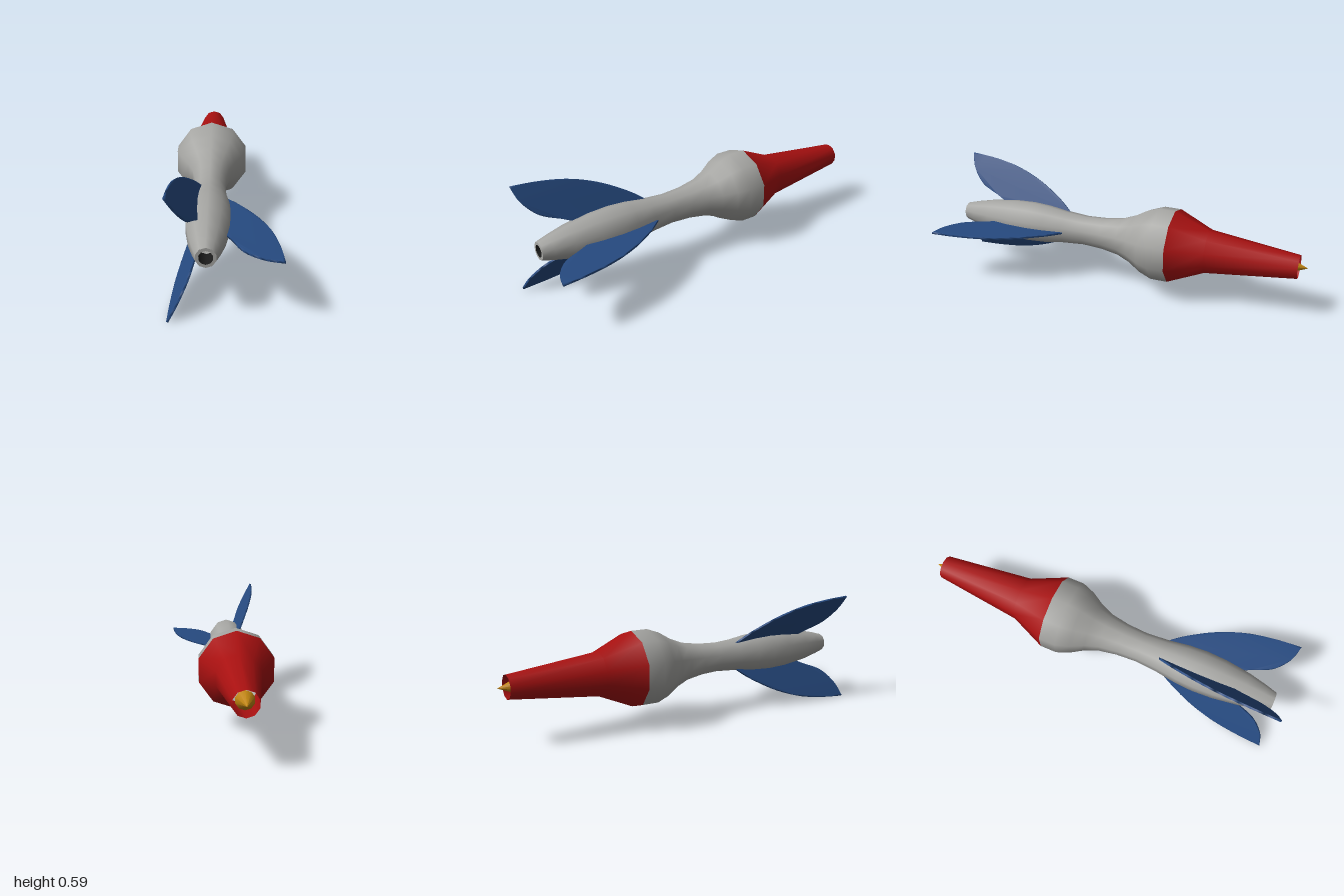
import * as THREE from 'three';
import { mergeVertices } from 'three/addons/utils/BufferGeometryUtils.js';

const SIDES = 10;

function material(name, color, side = THREE.FrontSide) {
  const m = new THREE.MeshStandardMaterial({ color, side });
  m.name = name;
  return m;
}

// Ring of revolution about the z axis from [z, radius] pairs, z increasing
function revolve(profile) {
  const points = profile.map(([z, r]) => new THREE.Vector2(r, z));
  return new THREE.LatheGeometry(points, SIDES).rotateX(Math.PI / 2);
}

function finGeometry() {
  // x is distance from the body axis, y runs forward
  const shape = new THREE.Shape();
  shape.moveTo(0.085, 0.33);
  shape.splineThru([[0.15, 0.41], [0.235, 0.55], [0.294, 0.7], [0.324, 0.85], [0.338, 1]]
    .map(([x, y]) => new THREE.Vector2(x, y)));
  shape.splineThru([[0.25, 0.972], [0.165, 0.9], [0.112, 0.79], [0.085, 0.74]]
    .map(([x, y]) => new THREE.Vector2(x, y)));
  shape.closePath();
  let g = new THREE.ExtrudeGeometry(shape, { depth: 0.01, bevelEnabled: false, curveSegments: 4 });
  g.translate(0, 0, -0.005).rotateX(Math.PI / 2);
  // Share corners so the blade shades softly
  g.deleteAttribute('uv');
  g.deleteAttribute('normal');
  g = mergeVertices(g, 1e-4);
  g.computeVertexNormals();
  return g;
}

export function createModel() {
  const grey = material('grey', 0xa6a6a3, THREE.DoubleSide);
  const red = material('red', 0xa81010, THREE.DoubleSide);
  const blue = material('blue', 0x264a80);
  const gold = material('gold', 0xbf8410);
  const dark = material('dark', 0x1c1c1c, THREE.DoubleSide);

  const model = new THREE.Group();
  model.name = 'dart';
  const add = (name, geometry, mat) => {
    const mesh = new THREE.Mesh(geometry, mat);
    mesh.name = name;
    model.add(mesh);
    return mesh;
  };

  // Waisted body
  add('body', revolve([
    [-0.29, 0.2], [-0.2, 0.2], [-0.13, 0.174], [-0.06, 0.132], [0.01, 0.104],
    [0.11, 0.087], [0.22, 0.081], [0.34, 0.09], [0.45, 0.106], [0.55, 0.112],
    [0.66, 0.107], [0.8, 0.088], [0.9, 0.065], [0.96, 0.048],
  ]), grey);

  // Open end: rim and short dark bore
  add('rim', new THREE.RingGeometry(0.033, 0.048, SIDES, 1, Math.PI / 2).translate(0, 0, 0.96), grey);
  add('bore', revolve([[0.86, 0.033], [0.96, 0.033]]), dark);

  // Tapered open nose and the point inside it
  add('nose', revolve([[-0.955, 0.062], [-0.48, 0.117], [-0.29, 0.2]]), red);
  const point = new THREE.ConeGeometry(0.045, 0.11, SIDES).rotateX(-Math.PI / 2);
  add('point', point.translate(0, 0, -0.945), gold);

  // Three fins evenly spaced around the body
  const fin = finGeometry();
  for (let i = 0; i < 3; i++) add('fin', fin, blue).rotation.z = i * Math.PI * 2 / 3;

  model.position.set(-0.075, 0.297, 0);
  const root = new THREE.Group();
  root.name = 'model';
  root.add(model);
  return root;
}
